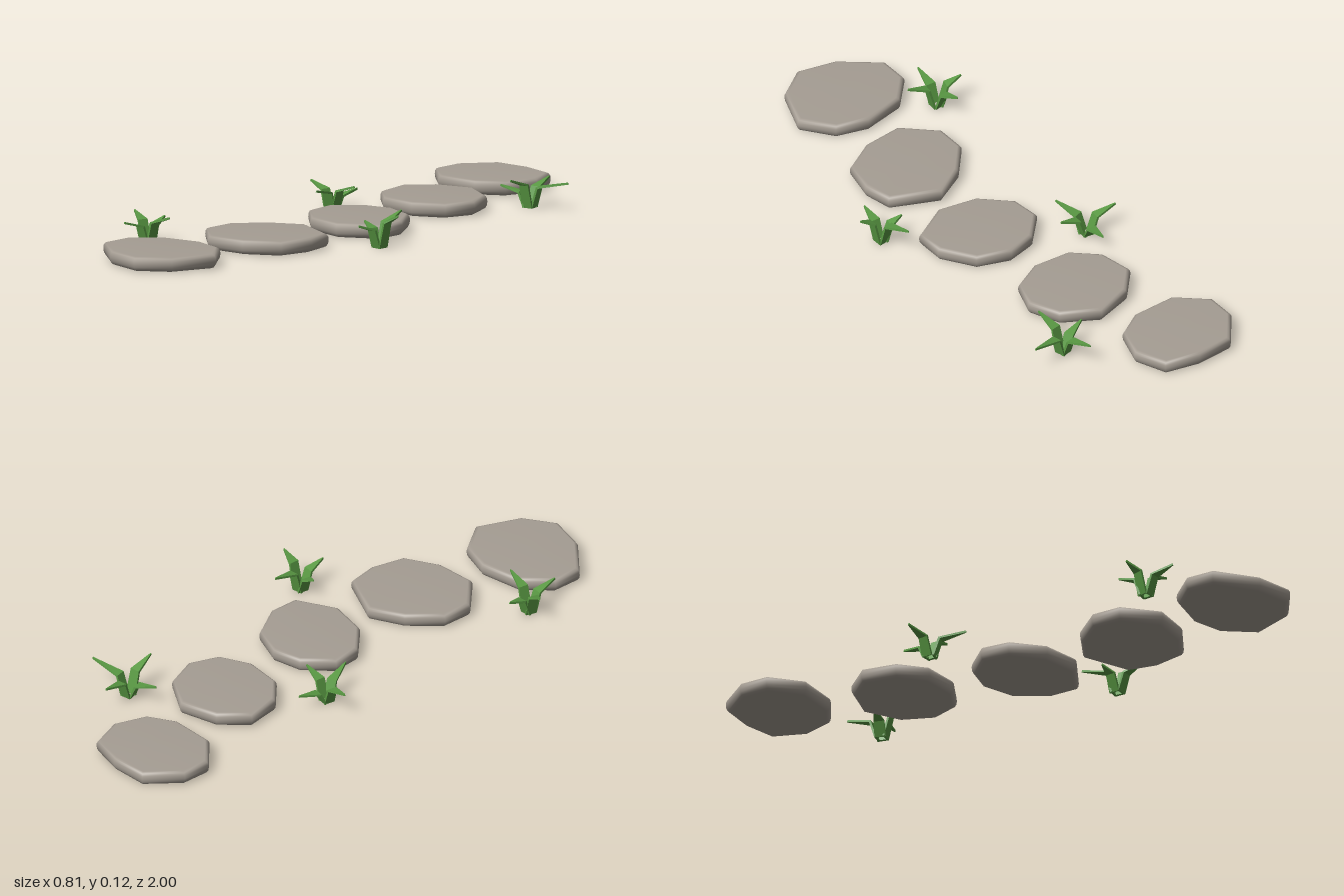
import * as THREE from 'three';

// Outlines of the stepping stones as [x, z], from back to front
const STONES = [
  [[-0.14, -1.0], [-0.01, -0.995], [0.105, -0.957], [0.138, -0.845], [0.092, -0.738], [0, -0.692], [-0.155, -0.703], [-0.245, -0.80], [-0.235, -0.90]],
  [[-0.07, -0.583], [0.065, -0.61], [0.178, -0.53], [0.213, -0.42], [0.168, -0.323], [0.062, -0.28], [-0.07, -0.302], [-0.145, -0.385], [-0.155, -0.505]],
  [[-0.04, -0.165], [0.065, -0.18], [0.173, -0.13], [0.234, -0.013], [0.224, 0.088], [0.088, 0.149], [-0.045, 0.111], [-0.13, 0.013], [-0.13, -0.087]],
  [[0.015, 0.207], [0.17, 0.293], [0.18, 0.394], [0.143, 0.507], [0.026, 0.561], [-0.114, 0.561], [-0.209, 0.452], [-0.198, 0.347], [-0.103, 0.257]],
  [[-0.22, 0.664], [-0.07, 0.648], [0.037, 0.69], [0.104, 0.80], [0.033, 0.94], [-0.075, 1.0], [-0.204, 0.957], [-0.32, 0.844], [-0.31, 0.743]],
];

// Rounded edge of a stone: [scale of the outline, height]
const EDGE = [[0.91, 0.004], [0.96, 0.008], [0.99, 0.017], [1, 0.028], [0.995, 0.039], [0.97, 0.047], [0.92, 0.051]];

// Tufts: centre [x, z] and the tips of the blades as [x, height, z]
const TUFTS = [
  { at: [0.264, -0.643], tips: [[0.252, 0.085, -0.76], [0.403, 0.094, -0.664], [0.27, 0.107, -0.532], [0.162, 0.068, -0.62]] },
  { at: [-0.218, -0.225], tips: [[-0.196, 0.058, -0.33], [-0.118, 0.09, -0.214], [-0.191, 0.083, -0.108], [-0.323, 0.084, -0.25]] },
  { at: [0.297, 0.19], tips: [[0.29, 0.105, 0.066], [0.379, 0.117, 0.198], [0.285, 0.085, 0.283], [0.222, 0.079, 0.172]] },
  { at: [-0.323, 0.605], tips: [[-0.328, 0.082, 0.51], [-0.219, 0.105, 0.627], [-0.338, 0.088, 0.71], [-0.402, 0.102, 0.574]] },
];

// Slab with a rounded rim, lofted through scaled copies of its outline
function stoneGeometry(outline) {
  const n = outline.length;
  const cx = outline.reduce((s, p) => s + p[0], 0) / n;
  const cz = outline.reduce((s, p) => s + p[1], 0) / n;
  const pos = [], index = [];
  for (const [scale, y] of EDGE) {
    for (const [x, z] of outline) pos.push(cx + (x - cx) * scale, y, cz + (z - cz) * scale);
  }
  const top = (EDGE.length - 1) * n;
  const low = EDGE.length * n;
  pos.push(cx, EDGE[0][1], cz, cx, EDGE[EDGE.length - 1][1], cz);
  for (let i = 0; i < n; i++) {
    const j = (i + 1) % n;
    for (let r = 0; r < top; r += n) {
      index.push(r + i, r + n + i, r + j, r + j, r + n + i, r + n + j);
    }
    index.push(low, i, j, low + 1, top + j, top + i);
  }
  const geo = new THREE.BufferGeometry();
  geo.setAttribute('position', new THREE.Float32BufferAttribute(pos, 3));
  geo.setIndex(index);
  geo.computeVertexNormals();
  return geo;
}

// Blade: a thin box that rises steeply, bends outward and tapers to a point
function bladeGeometry(length, height, angle) {
  const rows = [ // r: distance from the centre, y: height, w: width, n: normal
    { r: 0.014, y: 0.004, w: 0.038, n: [0.97, -0.24] },
    { r: 0.034, y: height * 0.77, w: 0.034, n: [0.85, -0.75] },
    { r: length, y: height, w: 0.003, n: [0.3, -0.95] },
  ];
  const dx = Math.cos(angle), dz = Math.sin(angle), thick = 0.007;
  const box = new THREE.BoxGeometry(1, 1, 1, 1, 2, 1);
  const p = box.attributes.position;
  for (let i = 0; i < p.count; i++) {
    const row = rows[Math.round((p.getY(i) + 0.5) * 2)];
    const side = p.getX(i) * row.w;
    const depth = p.getZ(i) * thick;
    const r = row.r + row.n[0] * depth;
    p.setXYZ(i, dx * r + dz * side, row.y + row.n[1] * depth, dz * r - dx * side);
  }
  const geo = box.toNonIndexed();
  geo.computeVertexNormals();
  return geo;
}

export function createModel() {
  const stone = new THREE.MeshStandardMaterial({ color: 0xa59d93 });
  stone.name = 'stone grey';
  const grass = new THREE.MeshStandardMaterial({ color: 0x5a9a44 });
  grass.name = 'grass green';

  const model = new THREE.Group();
  model.name = 'steppingStonePath';

  // Stepping stones
  STONES.forEach((outline, i) => {
    const mesh = new THREE.Mesh(stoneGeometry(outline), stone);
    mesh.name = `steppingStone${i + 1}`;
    model.add(mesh);
  });

  // Grass tufts beside the path
  TUFTS.forEach(({ at: [x, z], tips }, i) => {
    const tuft = new THREE.Group();
    tuft.name = `grassTuft${i + 1}`;
    tuft.position.set(x, 0, z);
    tips.forEach(([tx, ty, tz], k) => {
      const length = Math.hypot(tx - x, tz - z);
      const angle = Math.atan2(tz - z, tx - x);
      const blade = new THREE.Mesh(bladeGeometry(length, ty, angle), grass);
      blade.name = `blade${k + 1}`;
      tuft.add(blade);
    });
    model.add(tuft);
  });

  return model;
}
